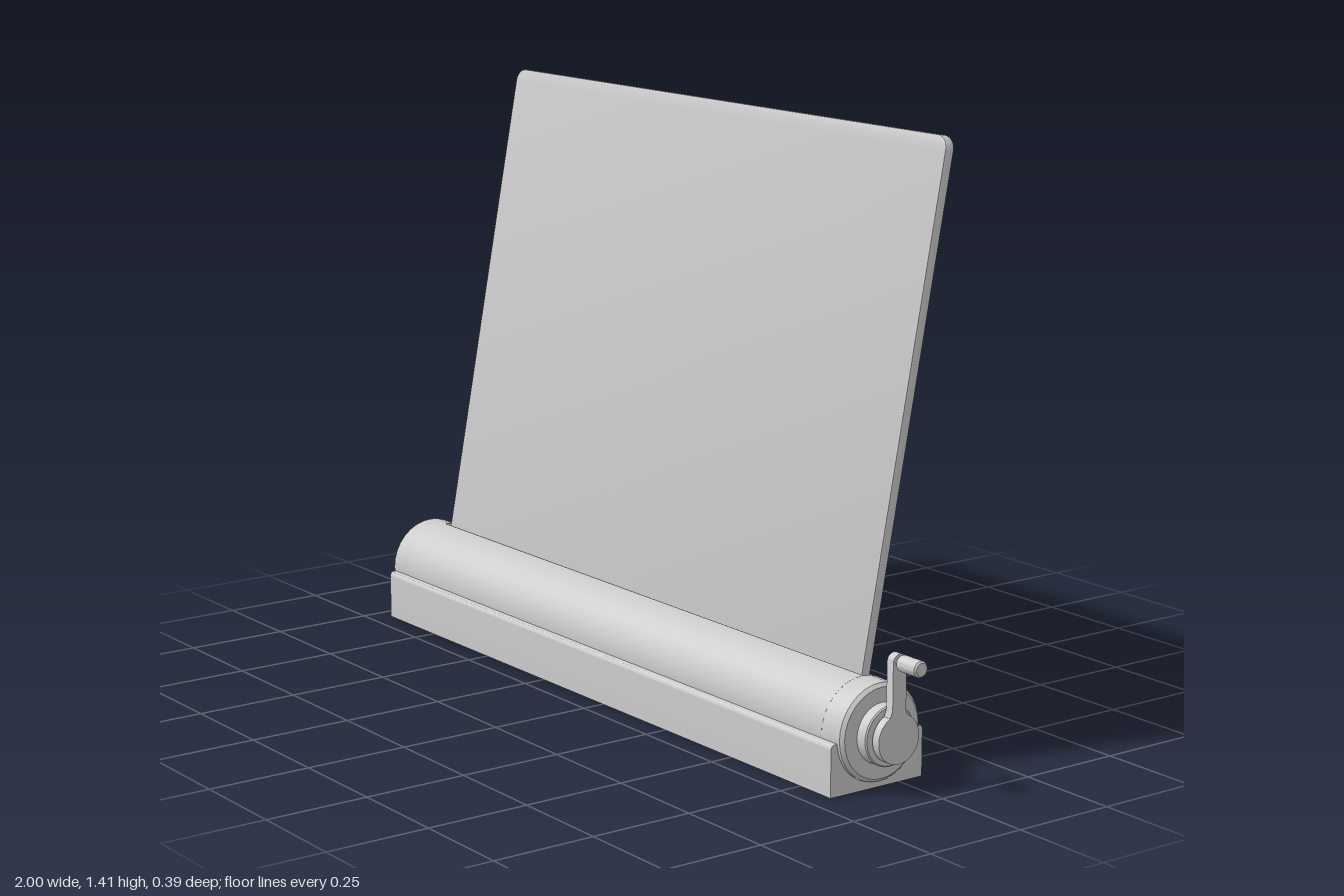
import * as THREE from 'three';
import { toCreasedNormals } from 'three/addons/utils/BufferGeometryUtils.js';

const AXIS_Y = 0.128, AXIS_Z = 0.065, R = 0.1125;
const LEAN = 0.188; // backward tilt of the panel

export function createModel() {
  const group = new THREE.Group();
  const material = new THREE.MeshStandardMaterial({ color: 0xcccccc });

  const add = (name, geometry) => {
    const mesh = new THREE.Mesh(toCreasedNormals(geometry, 0.5), material);
    mesh.name = name;
    group.add(mesh);
    return mesh;
  };

  // Turned part about the tube axis; points are [radius, x], x ascending
  const turned = (name, points, y = AXIS_Y, segments = 32) => {
    const g = new THREE.LatheGeometry(points.map(([r, x]) => new THREE.Vector2(r, x)), segments);
    g.rotateZ(-Math.PI / 2);
    g.translate(0, y, AXIS_Z);
    return add(name, g);
  };

  // Profile drawn about the tube axis (u = backward, v = up), extruded from x0 to x1
  const extrudedAlongX = (name, shape, x0, x1) => {
    const g = new THREE.ExtrudeGeometry(shape, { depth: x1 - x0, bevelEnabled: false, curveSegments: 32 });
    g.rotateY(Math.PI / 2);
    g.translate(x0, AXIS_Y, AXIS_Z);
    return add(name, g);
  };

  // Cradle base with a round trough
  const base = new THREE.Shape();
  const w = 0.13, top = 0.12 - AXIS_Y, c = 0.012;
  base.moveTo(-w, -AXIS_Y);
  base.lineTo(w, -AXIS_Y);
  base.lineTo(w, top - c);
  base.quadraticCurveTo(w, top, w - c, top);
  base.absarc(0, 0, R + 0.001, -0.07, -Math.PI + 0.07, true);
  base.lineTo(-w + c, top);
  base.quadraticCurveTo(-w, top, -w, top - c);
  base.closePath();
  extrudedAlongX('base', base, -0.955, 0.855);

  // Slotted housing tube
  const slot = Math.PI / 2 - LEAN, half = 0.15, inner = 0.096;
  const tube = new THREE.Shape();
  tube.absarc(0, 0, R, slot + half, slot - half + Math.PI * 2, false);
  tube.absarc(0, 0, inner, slot - half + Math.PI * 2, slot + half, true);
  tube.closePath();
  extrudedAlongX('housingTube', tube, -0.9, 0.8);

  // Solid tube ends with softened rims
  turned('rightTubeEnd', [[0, -0.97], [R - 0.008, -0.97], [R, -0.962], [R, -0.9], [0, -0.9]]);
  turned('leftTubeEnd', [[0, 0.8], [R, 0.8], [R, 0.862], [R - 0.008, 0.87], [0, 0.87]]);

  // Hollow end collar, and the crank collar on the other side
  turned('hollowCollar', [[0, -0.972], [0.055, -0.972], [0.055, -1], [0.067, -1], [0.07, -0.997], [0.07, -0.96]]);
  turned('crankCollar', [[0.07, 0.86], [0.07, 0.897], [0.067, 0.9], [0, 0.9]]);
  turned('crankHub', [[0.048, 0.89], [0.048, 0.91]]);

  // Crank plate: disc and arm in one outline
  const crank = new THREE.Shape();
  const disc = 0.057, arm = 0.019, reach = 0.174;
  const a = Math.acos(arm / disc);
  crank.absarc(0, 0, disc, Math.PI - a + 0.12, Math.PI * 2 + a - 0.12, false);
  crank.quadraticCurveTo(arm, 0.056, arm, 0.068);
  crank.absarc(0, reach, arm, 0, Math.PI, false);
  crank.lineTo(-arm, 0.068);
  crank.closePath();
  extrudedAlongX('crankPlate', crank, 0.907, 0.928);

  // Handle knob on the end of the arm
  turned('crankHandle', [[0.012, 0.92], [0.012, 0.938], [0.019, 0.938], [0.019, 0.996], [0.015, 1], [0, 1]],
    AXIS_Y + reach, 20);

  // Leaning panel with rounded upper corners
  const b = 0.004, x0 = -0.885 + b, x1 = 0.785 - b, h = 1.303 - b, r = 0.028;
  const sheet = new THREE.Shape();
  sheet.moveTo(x0, 0.03);
  sheet.lineTo(x1, 0.03);
  sheet.lineTo(x1, h - r);
  sheet.absarc(x1 - r, h - r, r, 0, Math.PI / 2, false);
  sheet.absarc(x0 + r, h - r, r, Math.PI / 2, Math.PI, false);
  sheet.closePath();
  const panel = new THREE.ExtrudeGeometry(sheet, {
    depth: 0.025 - 2 * b, bevelSize: b, bevelThickness: b, bevelSegments: 2, curveSegments: 8,
  });
  panel.translate(0, 0, -0.0125 + b);
  panel.rotateX(-LEAN);
  panel.translate(0, AXIS_Y, AXIS_Z - 0.004);
  add('panel', panel);

  return group;
}
